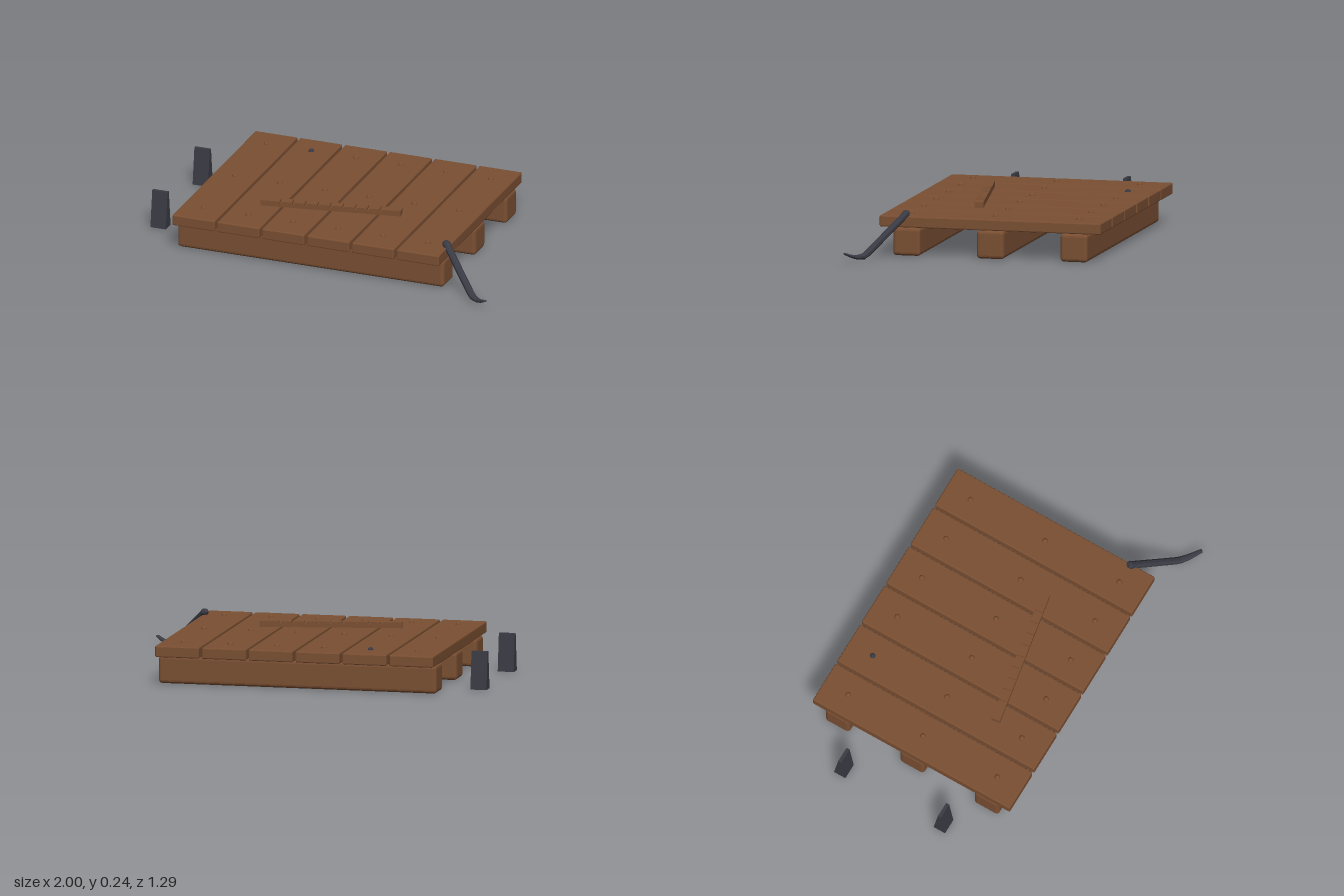
import * as THREE from 'three';
import { RoundedBoxGeometry } from 'three/addons/geometries/RoundedBoxGeometry.js';

export function createModel() {
  const group = new THREE.Group();
  const mat = (name, color) => {
    const m = new THREE.MeshStandardMaterial({ color, flatShading: true });
    m.name = name;
    return m;
  };
  const wood = mat('brown wood', 0x7a4f32);
  const iron = mat('dark iron', 0x3a3a44);

  const add = (name, geometry, material, x = 0, y = 0, z = 0, parent = group) => {
    const mesh = new THREE.Mesh(geometry, material);
    mesh.name = name;
    mesh.position.set(x, y, z);
    parent.add(mesh);
    return mesh;
  };

  // three bearer beams under the deck
  const rows = [-0.502, -0.057, 0.388];
  const beamGeo = new RoundedBoxGeometry(1.472, 0.147, 0.145, 2, 0.018);
  rows.forEach((z) => add('beam', beamGeo, wood, -0.042, 0.0765, z));

  // six deck planks, each nailed to every beam
  const plankGeo = new RoundedBoxGeometry(0.233, 0.058, 1.176, 1, 0.006);
  const nailGeo = new THREE.SphereGeometry(0.015, 10, 6);
  for (let i = 0; i < 6; i++) {
    const x = -0.662 + i * 0.248;
    add('plank', plankGeo, wood, x, 0.18, -0.058);
    rows.forEach((z, r) => {
      const odd = i === 1 && r === 0;
      add(odd ? 'ironNail' : 'nail', nailGeo, odd ? iron : wood, x, 0.209, z);
    });
  }

  // notched stick lying across the deck: side profile with nine saw cuts
  const half = 0.368, top = 0.031, cut = 0.02;
  const profile = new THREE.Shape();
  profile.moveTo(-half, 0);
  profile.lineTo(half, 0);
  profile.lineTo(half, top);
  for (let i = 4; i >= -4; i--) {
    const x = i * 0.0655;
    profile.lineTo(x + 0.005, top);
    profile.lineTo(x + 0.005, cut);
    profile.lineTo(x - 0.005, cut);
    profile.lineTo(x - 0.005, top);
  }
  profile.lineTo(-half, top);
  const stickGeo = new THREE.ExtrudeGeometry(profile, { depth: 0.046, bevelEnabled: false });
  stickGeo.translate(0, 0, -0.023);
  add('notchedStick', stickGeo, wood, -0.042, 0.208, 0.163).rotation.y = 0.175;

  // two upright splitting wedges beside the deck
  const wedge = new THREE.Shape();
  wedge.moveTo(-0.034, 0);
  wedge.lineTo(0.034, 0);
  wedge.lineTo(0.009, 0.197);
  wedge.lineTo(-0.009, 0.197);
  const wedgeGeo = new THREE.ExtrudeGeometry(wedge, { depth: 0.085, bevelEnabled: false });
  wedgeGeo.translate(0, 0, -0.0425);
  wedgeGeo.rotateY(Math.PI / 2);
  [-0.355, 0.24].forEach((z) => add('wedge', wedgeGeo, iron, -0.957, 0.003, z));

  // pry bar: [along, height, half width, half thickness] of each cross-section
  add('pryBar', loft([
    [-0.002, 0.232, 0.014, 0.012],
    [0.008, 0.224, 0.022, 0.02],
    [0.03, 0.206, 0.02, 0.018],
    [0.255, 0.04, 0.019, 0.018],
    [0.285, 0.024, 0.019, 0.016],
    [0.33, 0.023, 0.017, 0.011],
    [0.37, 0.034, 0.014, 0.008],
    [0.405, 0.048, 0.011, 0.005],
  ], 8), iron, 0.675, 0, 0.385).rotation.y = -0.671;

  return group;
}

// joins elliptical cross-sections along a path in the xy plane, with closed ends
function loft(sections, sides) {
  const pos = [], index = [];
  const n = sections.length;
  sections.forEach(([x, y, w, t], i) => {
    const a = sections[Math.max(i - 1, 0)], b = sections[Math.min(i + 1, n - 1)];
    const d = new THREE.Vector2(b[0] - a[0], b[1] - a[1]).normalize();
    for (let j = 0; j < sides; j++) {
      const q = ((j + 0.5) / sides) * Math.PI * 2;
      const up = Math.cos(q) * t;
      pos.push(x - d.y * up, y + d.x * up, Math.sin(q) * w);
    }
  });
  for (let i = 0; i < n - 1; i++) {
    for (let j = 0; j < sides; j++) {
      const a = i * sides + j, b = i * sides + ((j + 1) % sides);
      index.push(a, b, a + sides, b, b + sides, a + sides);
    }
  }
  for (let j = 1; j < sides - 1; j++) {
    const e = (n - 1) * sides;
    index.push(0, j + 1, j, e, e + j, e + j + 1);
  }
  const g = new THREE.BufferGeometry();
  g.setAttribute('position', new THREE.Float32BufferAttribute(pos, 3));
  g.setIndex(index);
  g.computeVertexNormals();
  return g;
}
